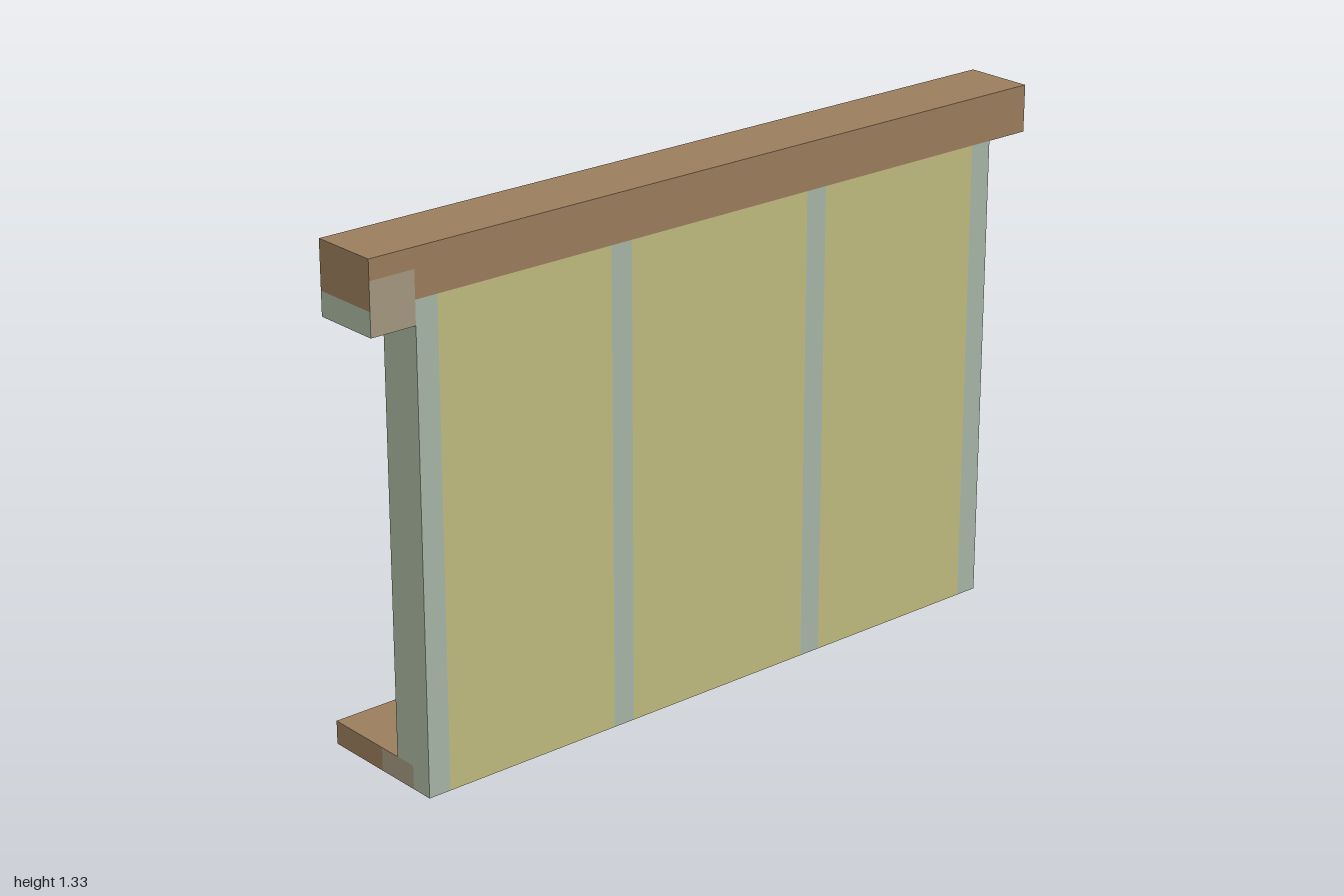
import * as THREE from 'three';

function material(name, color) {
  const m = new THREE.MeshStandardMaterial({ color });
  m.name = name;
  return m;
}

export function createModel() {
  const group = new THREE.Group();
  const wood = material('brown wood', 0x9b7d5d);
  const tan = material('weathered tan', 0xa59880);
  const green = material('frame green', 0xaab7a2);
  const mist = material('misty green', 0xa7b6a7);
  const pane = material('yellow pane', 0xbfbb80);

  // Box given by its [min, max] ranges; faces may override the base material.
  function box(name, x, y, z, base, faces = {}) {
    const geometry = new THREE.BoxGeometry(x[1] - x[0], y[1] - y[0], z[1] - z[0]);
    const order = ['px', 'nx', 'py', 'ny', 'pz', 'nz'];
    const mats = order.map((key) => faces[key] || base);
    const mesh = new THREE.Mesh(geometry, Object.keys(faces).length ? mats : base);
    mesh.position.set((x[0] + x[1]) / 2, (y[0] + y[1]) / 2, (z[0] + z[1]) / 2);
    mesh.name = name;
    group.add(mesh);
  }

  const width = [-0.88, 0.88];
  const outer = [0.12, 0.18];
  const inner = [0.06, 0.12];

  // Sill, with weathered ends where it meets the frame
  const worn = { ny: tan, pz: tan, nz: tan };
  box('sill', [-0.18, 0], [0, 0.06], width, wood);
  box('sillInner', [0, 0.06], [0, 0.06], width, wood, worn);
  box('bottomRail', inner, [0, 0.06], width, green, worn);

  // Jambs and mullions, flush with the panes on the outer side
  const posts = [-0.85, -0.3, 0.3, 0.85];
  posts.forEach((z) => {
    const span = [z - 0.03, z + 0.03];
    box('post', inner, [0.06, 1.15], span, green);
    box('postOuter', outer, [0, 1.21], span, green, { px: mist, ny: pane });
  });

  // Panes and crossbars between the posts
  for (let i = 0; i < 3; i++) {
    const span = [posts[i] + 0.03, posts[i + 1] - 0.03];
    box('pane', outer, [0, 1.21], span, pane);
    box('crossbar', inner, [0.605, 0.665], span, green);
  }

  // Header beam in layers
  const end = [0.88, 1];
  const depth = [0, 0.18];
  box('headerTop', depth, [1.28, 1.33], [-1, 1], wood);
  box('headerOverhang', depth, [1.21, 1.28], [-1, -0.88], wood);
  box('headerMiddle', depth, [1.21, 1.28], width, wood, { nx: tan });
  box('headerEnd', depth, [1.21, 1.28], end, wood, { px: tan, nx: tan });
  box('topRail', [0, 0.12], [1.15, 1.21], width, green, { nx: tan });
  box('topRailEnd', depth, [1.15, 1.21], end, green, { px: tan, nx: tan });

  return group;
}
